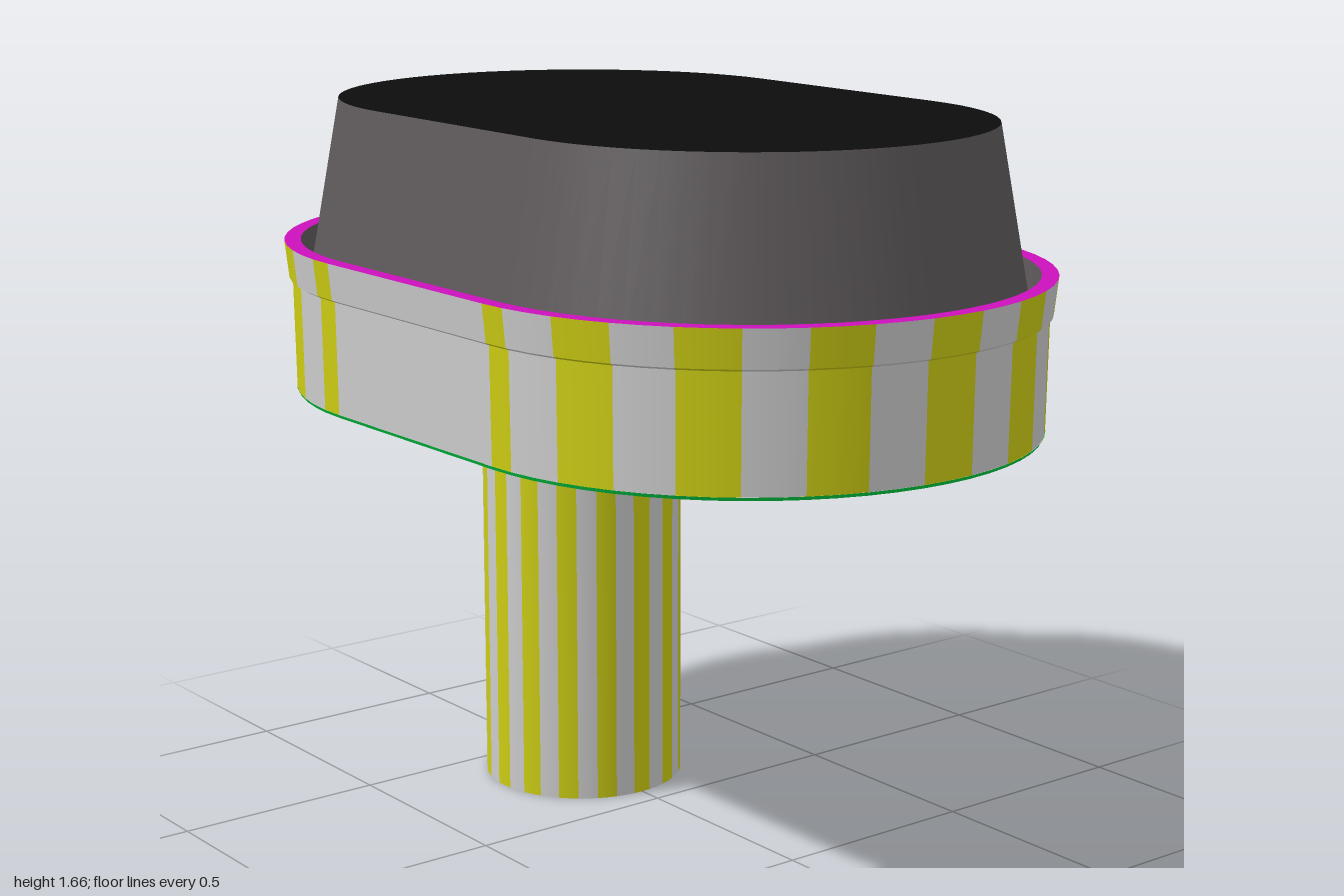
import * as THREE from 'three';

const STEPS = 32;            // segments per half circle
const STRAIGHT = 0.305;      // half length of the straight sides
const POST_Z = -0.3;         // the post stands behind the middle

const paint = (color) => new THREE.MeshStandardMaterial({ color, side: THREE.DoubleSide });

// Outline points: front arc then back arc; the gaps between them are the straight sides
function outline() {
  const pts = [];
  for (const half of [0, 1]) {
    for (let i = 0; i <= STEPS; i++) {
      pts.push({ a: -Math.PI / 2 + half * Math.PI + (i / STEPS) * Math.PI, end: half ? -1 : 1 });
    }
  }
  return pts;
}

// A ring is { r, y, l: half straight length, z: centre }
const pill = (r, y) => ({ r, y, l: STRAIGHT, z: 0 });
const round = (r, y) => ({ r, y, l: 0, z: POST_Z });

// Every second eighth-of-a-quarter wedge is a stripe; straight sides are plain
function isStripe(i) {
  const k = i % (STEPS + 1);
  if (k === STEPS) return false;
  const deg = -90 + ((k + 0.5) / STEPS) * 180;
  return Math.round(deg / 11.25) % 2 === 0;
}

// Skin between successive rings, smooth around, sharp between bands
function loft(rings, keep = () => true) {
  const pts = outline(), n = pts.length;
  const pos = [], nor = [], idx = [];
  for (let b = 0; b < rings.length - 1; b++) {
    const lo = rings[b], hi = rings[b + 1];
    const slope = new THREE.Vector2(hi.y - lo.y, lo.r - hi.r).normalize();
    for (let i = 0; i < n; i++) {
      if (!keep(i)) continue;
      const base = pos.length / 3, j = (i + 1) % n;
      for (const [k, ring] of [[i, lo], [j, lo], [j, hi], [i, hi]]) {
        const { a, end } = pts[k];
        pos.push(ring.r * Math.sin(a), ring.y, ring.z + ring.r * Math.cos(a) + end * ring.l);
        nor.push(Math.sin(a) * slope.x, slope.y, Math.cos(a) * slope.x);
      }
      idx.push(base, base + 1, base + 2, base, base + 2, base + 3);
    }
  }
  const geo = new THREE.BufferGeometry();
  geo.setAttribute('position', new THREE.Float32BufferAttribute(pos, 3));
  geo.setAttribute('normal', new THREE.Float32BufferAttribute(nor, 3));
  geo.setIndex(idx);
  return geo;
}

export function createModel() {
  const model = new THREE.Group();
  const grey = paint(0xcccccc), yellow = paint(0xcccc14);
  const green = paint(0x00cc44), magenta = paint(0xcc11bb);
  const dark = paint(0x5e595b), black = paint(0x0c0c0c);

  const add = (name, rings, material, keep, parent = model) => {
    const mesh = new THREE.Mesh(loft(rings, keep), material);
    mesh.name = name;
    parent.add(mesh);
  };
  const addStriped = (name, rings) => {
    const group = new THREE.Group();
    group.name = name;
    add(name + 'Plain', rings, grey, (i) => !isStripe(i), group);
    add(name + 'Stripes', rings, yellow, isStripe, group);
    model.add(group);
  };

  // Hollow post with shoulder and ringed neck
  addStriped('post', [
    round(0.24, 0), round(0.24, 0.86), round(0.195, 0.88), round(0.19, 0.91),
    round(0.2, 0.925), round(0.2, 0.955), round(0.19, 0.965), round(0.19, 0.978),
  ]);

  // Underside spreading from the neck to the oblong tray
  addStriped('underside', [round(0.19, 0.978), pill(0.672, 0.978)]);
  add('bottomEdge', [pill(0.672, 0.978), pill(0.676, 0.986)], green);

  // Tray wall with a stepped, slightly flared lip
  addStriped('trayWall', [
    pill(0.675, 0.986), pill(0.678, 1.245), pill(0.686, 1.25), pill(0.695, 1.335),
  ]);
  add('rim', [pill(0.695, 1.335), pill(0.657, 1.335)], magenta);

  // Inside of the lip, ledge and tapered top block
  add('innerLip', [pill(0.657, 1.335), pill(0.653, 1.27), pill(0.633, 1.27)], dark);
  add('topBlock', [pill(0.633, 1.27), pill(0.56, 1.665)], dark);
  add('topFace', [pill(0.56, 1.665), pill(0, 1.665)], black);

  return model;
}
